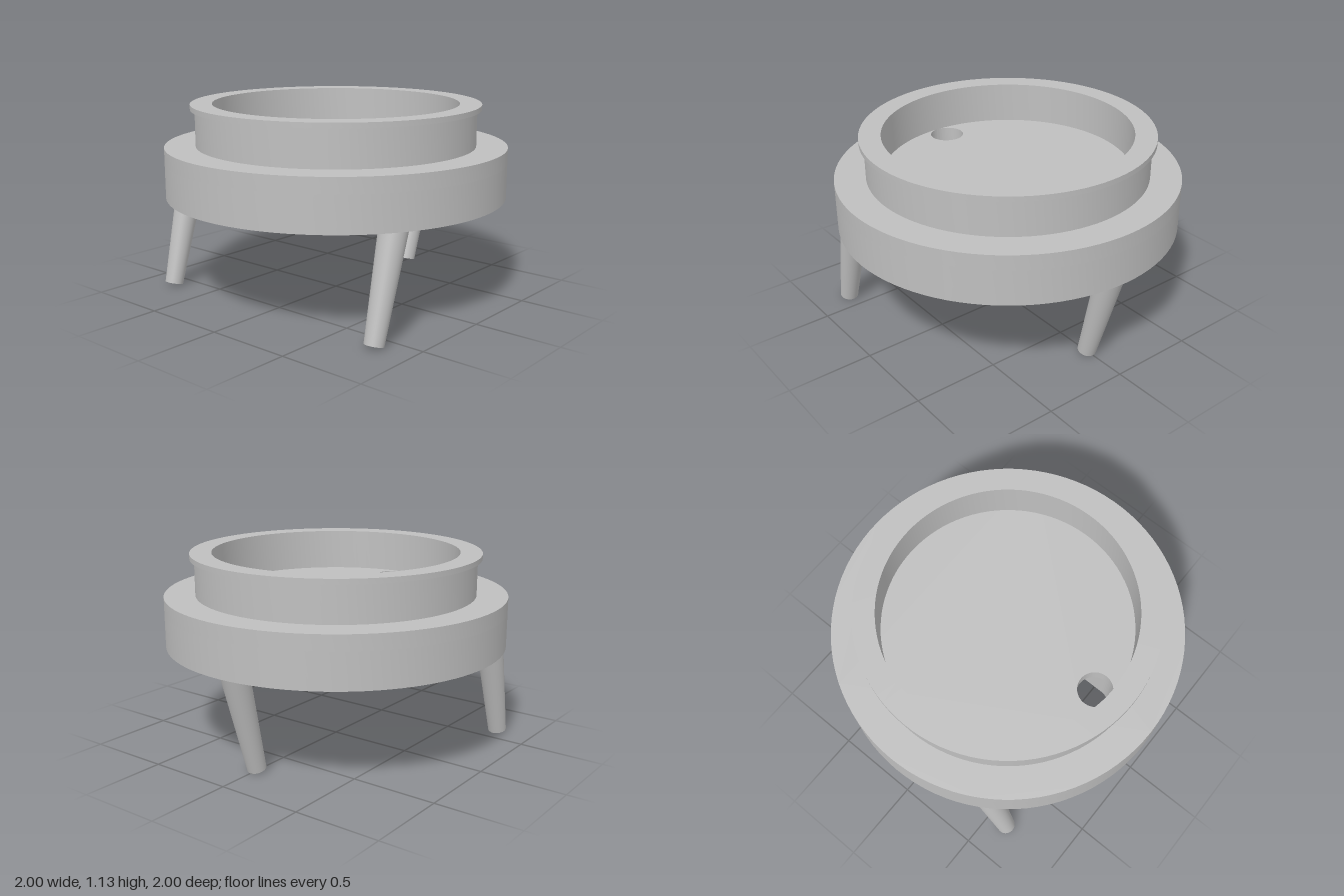
import * as THREE from 'three';
import { toCreasedNormals } from 'three/addons/utils/BufferGeometryUtils.js';

const SEG = 96;

export function createModel() {
  const model = new THREE.Group();
  const grey = new THREE.MeshStandardMaterial({ color: 0xbfbfbf });
  grey.name = 'grey';

  const add = (name, geometry, parent = model) => {
    const mesh = new THREE.Mesh(geometry, grey);
    mesh.name = name;
    parent.add(mesh);
    return mesh;
  };

  // Round plate of radius 1 with one hole, between two heights
  const plate = (hole, y0, y1) => {
    const shape = new THREE.Shape().absarc(0, 0, 1, 0, Math.PI * 2);
    shape.holes.push(hole);
    const g = new THREE.ExtrudeGeometry(shape, { depth: y1 - y0, bevelEnabled: false, curveSegments: SEG / 2 });
    g.rotateX(-Math.PI / 2).translate(0, y0, 0);
    return toCreasedNormals(g, 0.5);
  };

  const holeX = -0.62, holeR = 0.1, pocketR = 0.373;
  const base = new THREE.Group();
  base.name = 'base';
  model.add(base);

  // Lower part of the base: round pocket with a round-ended slot leading to the drain
  const a = Math.asin(holeR / pocketR);
  const keyhole = new THREE.Path();
  keyhole.absarc(0, 0, pocketR, -Math.PI + a, Math.PI - a, false);
  keyhole.absarc(holeX, 0, holeR, Math.PI / 2, Math.PI * 1.5, false);
  keyhole.closePath();
  add('pocketedBase', plate(keyhole, 0.6, 0.805), base);

  // Upper part of the base: the basin floor with its drain hole
  const drain = new THREE.Path().absarc(holeX, 0, holeR, 0, Math.PI * 2, true);
  add('basinFloor', plate(drain, 0.805, 0.893), base);

  // Raised wall with a thin overhanging lip
  const profile = [
    [0.82, 0.893], [0.82, 1.105], [0.846, 1.105], [0.846, 1.135], [0.72, 1.135], [0.72, 0.893],
  ].map(([r, y]) => new THREE.Vector2(r, y));
  add('basinWall', toCreasedNormals(new THREE.LatheGeometry(profile, SEG), 0.5));

  // Three tapered legs, all leaning the same way
  const footY = 0.015, topY = 0.622, lean = 0.257;
  const length = (topY - footY) / Math.cos(lean);
  const legGeometry = new THREE.CylinderGeometry(0.08, 0.054, length, 40);
  legGeometry.translate(0, length / 2, 0);
  for (let i = 0; i < 3; i++) {
    const t = (i * Math.PI * 2) / 3;
    const leg = add('leg' + (i + 1), legGeometry);
    leg.position.set(0.9 * Math.cos(t) - 0.17, footY, 0.9 * Math.sin(t));
    leg.rotation.z = -lean;
  }
  return model;
}
